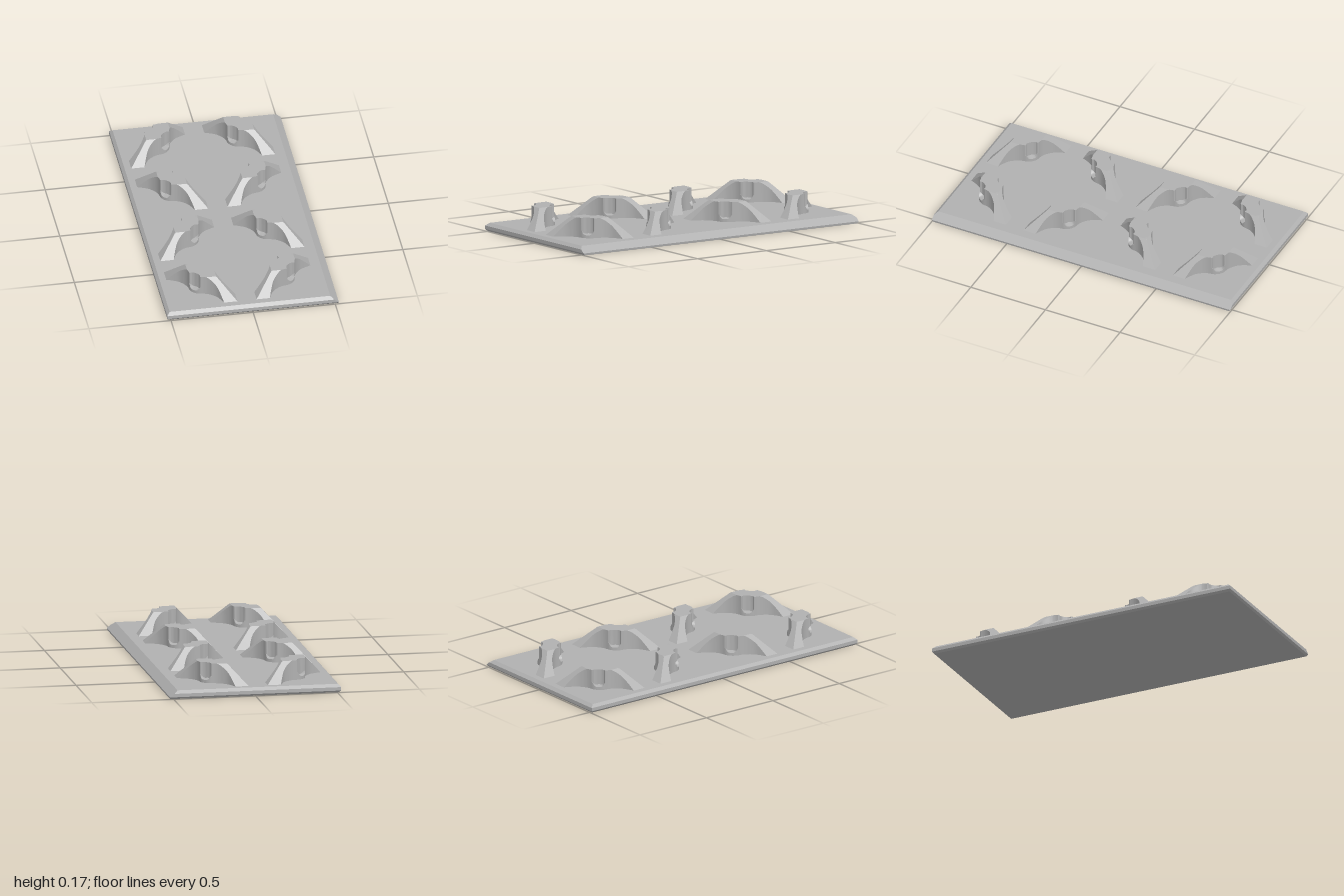
import * as THREE from 'three';
import { toCreasedNormals } from 'three/addons/utils/BufferGeometryUtils.js';

// Joins closed cross-sections into a solid with capped ends, skipping empty triangles.
function loft(loops, crease) {
  const pos = [];
  const e1 = new THREE.Vector3(), e2 = new THREE.Vector3();
  const tri = (a, b, c) => {
    e1.subVectors(b, a);
    e2.subVectors(c, a);
    if (e1.cross(e2).length() < 1e-9) return;
    for (const p of [a, b, c]) pos.push(p.x, p.y, p.z);
  };
  const n = loops[0].length;
  for (let i = 0; i < loops.length - 1; i++) {
    for (let j = 0; j < n; j++) {
      const k = (j + 1) % n;
      const a = loops[i][j], b = loops[i][k], c = loops[i + 1][k], d = loops[i + 1][j];
      tri(a, b, c);
      tri(a, c, d);
    }
  }
  const first = loops[0], last = loops[loops.length - 1];
  for (let j = 1; j < n - 1; j++) {
    tri(first[0], first[j + 1], first[j]);
    tri(last[0], last[j], last[j + 1]);
  }
  const g = new THREE.BufferGeometry();
  g.setAttribute('position', new THREE.Float32BufferAttribute(pos, 3));
  return toCreasedNormals(g, crease);
}

const V = (x, y, z) => new THREE.Vector3(x, y, z);
const BASE = 0.05, TOP = 0.17, REACH = 0.19, FLAT = 0.08;

// Bevelled slab, with a wider bevel on the +x side
function slabGeometry() {
  const levels = [
    [0, -0.51, 0.52, 0.99],
    [0.012, -0.522, 0.522, 1],
    [0.033, -0.522, 0.495, 1],
    [BASE, -0.505, 0.473, 0.98],
  ];
  return loft(levels.map(([y, x0, x1, z]) =>
    [V(x0, y, z), V(x1, y, z), V(x1, y, -z), V(x0, y, -z)]), 0.1);
}

// Diagonal rib: waisted plan, four-sided sloping top, a scooped niche on each side
function ribGeometry() {
  const half = [[0, 0.074], [0.03, 0.068], [0.055, 0.051], [0.074, 0.041],
    [0.1, 0.034], [0.138, 0.032], [0.175, 0.042], [0.212, 0.057]];
  const outline = [
    ...half.slice(1).reverse().map(([u, w]) => V(-u, 0, w)),
    ...half.map(([u, w]) => V(u, 0, w)),
  ];
  const stations = new THREE.CatmullRomCurve3(outline).getPoints(56).map((p) => [p.x, p.z]);
  const tip = REACH * Math.SQRT2;
  stations.unshift([-tip, 0]);
  stations.push([tip, 0]);

  const height = (u, v) => {
    const m = (Math.abs(u) + Math.abs(v)) / Math.SQRT2;
    const t = THREE.MathUtils.clamp((REACH - m) / (REACH - FLAT), 0, 1);
    return BASE + t * (TOP - BASE);
  };

  const loops = stations.map(([u, w]) => {
    const s = Math.min(1, Math.abs(u) / 0.037);
    const inner = w - 0.032 * Math.sqrt(1 - s * s);
    const edge = THREE.MathUtils.clamp(FLAT * Math.SQRT2 - Math.abs(u), 0, inner);
    const sill = Math.min(0.068 + 0.025 * s ** 4, height(u, w));
    const side = [
      [edge, height(u, edge)],
      [inner, height(u, inner)],
      [inner, Math.min(sill + 0.008 * (1 - s), height(u, inner))],
      [w, sill],
      [w, BASE],
    ];
    return [
      V(u, height(u, 0), 0),
      ...side.map(([v, y]) => V(u, y, v)),
      ...side.slice().reverse().map(([v, y]) => V(u, y, -v)),
    ];
  });
  return loft(loops, 0.5);
}

export function createModel() {
  const model = new THREE.Group();
  const grey = new THREE.MeshStandardMaterial({ color: 0xb0b0b0 });
  grey.name = 'plainGrey';

  const slab = new THREE.Mesh(slabGeometry(), grey);
  slab.name = 'basePlate';
  model.add(slab);

  // Two columns of four ribs, alternating in diagonal direction
  const rib = ribGeometry();
  [-0.275, 0.222].forEach((x, col) => {
    [-0.75, -0.25, 0.25, 0.75].forEach((z, row) => {
      const mesh = new THREE.Mesh(rib, grey);
      mesh.name = 'diagonalRib';
      mesh.position.set(x, 0, z);
      mesh.rotation.y = ((col + row) % 2 ? -1 : 1) * Math.PI / 4;
      model.add(mesh);
    });
  });
  return model;
}
